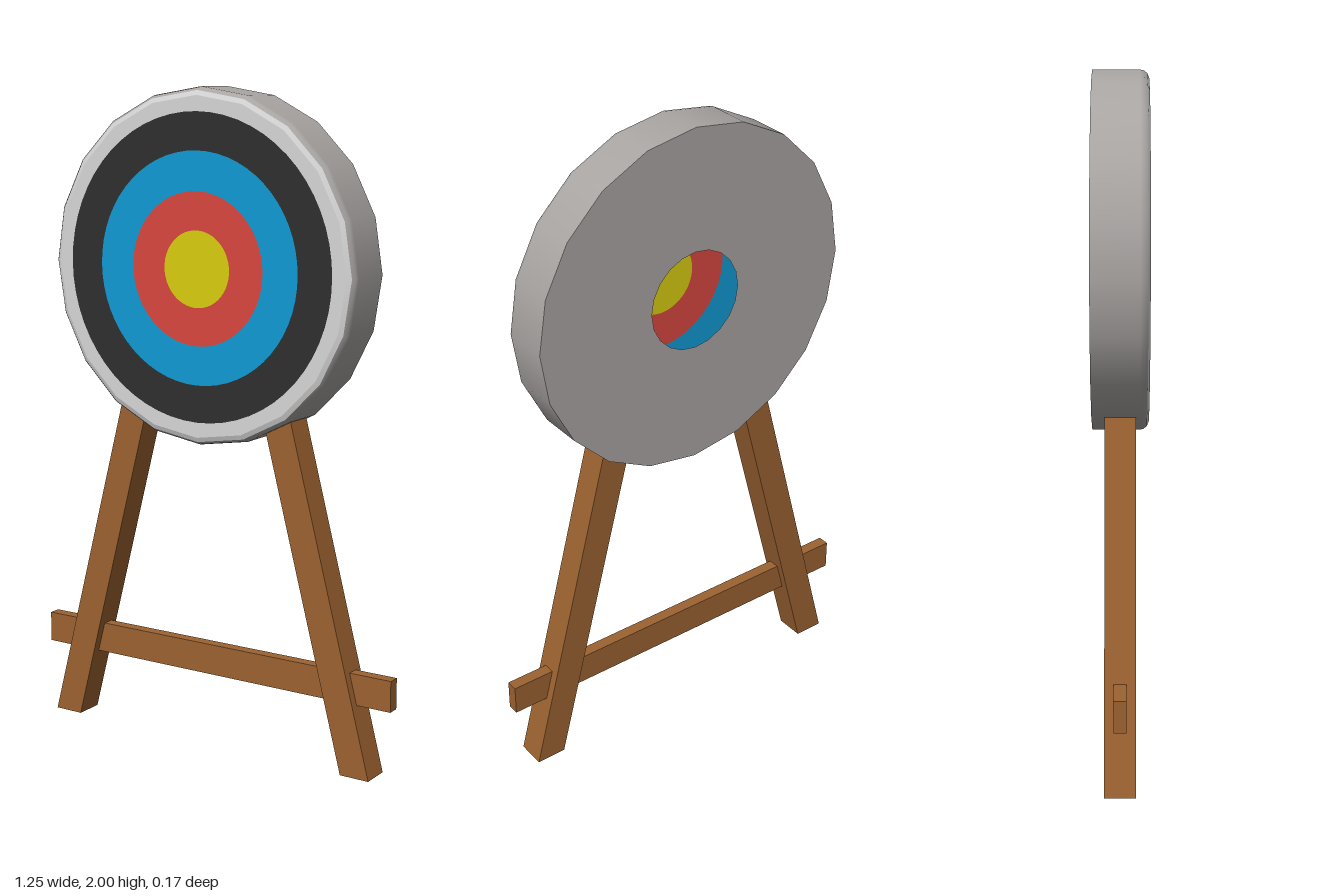
import * as THREE from 'three';

const SIDES = 20;

function material(name, color, side = THREE.FrontSide) {
  const m = new THREE.MeshStandardMaterial({ color, side });
  m.name = name;
  return m;
}

export function createModel() {
  const model = new THREE.Group();
  model.name = 'archeryTarget';

  const wood = material('brown wood', 0x9c6231);
  const grey = material('grey body', 0xa9a5a3, THREE.DoubleSide);
  const white = material('white', 0xd6d6d6, THREE.DoubleSide);
  const black = material('black', 0x2e2e2e, THREE.DoubleSide);
  const blue = material('blue', 0x109bd4, THREE.DoubleSide);
  const red = material('red', 0xd8463f, THREE.DoubleSide);
  const yellow = material('yellow', 0xd8cd10, THREE.DoubleSide);

  const add = (parent, name, geometry, mat) => {
    const mesh = new THREE.Mesh(geometry, mat);
    mesh.name = name;
    parent.add(mesh);
    return mesh;
  };

  // Hollow round target, open at the centre of the back
  const target = new THREE.Group();
  target.name = 'target';
  target.position.set(-0.007, 1.4725, 0);
  model.add(target);

  const lathe = (profile) => new THREE.LatheGeometry(
    profile.map(([r, z]) => new THREE.Vector2(r, z)), SIDES).rotateX(Math.PI / 2);
  const front = 0.0825;
  add(target, 'rim', lathe([[0.5275, -front], [0.5275, 0.055], [0.525, 0.067], [0.517, 0.0765]]), grey);
  add(target, 'rimBevel', lathe([[0.517, 0.0765], [0.503, front]]), white);

  const back = new THREE.RingGeometry(0.153, 0.5275, SIDES).rotateY(Math.PI);
  add(target, 'backPanel', back, grey).position.z = -front;

  // White outer band: polygon outside, round inside
  const band = new THREE.Shape();
  for (let i = 0; i < SIDES; i++) {
    const a = (i / SIDES) * Math.PI * 2;
    const p = [0.503 * Math.cos(a), 0.503 * Math.sin(a)];
    if (i) band.lineTo(...p); else band.moveTo(...p);
  }
  band.closePath();
  band.holes.push(new THREE.Path().absarc(0, 0, 0.457, 0, Math.PI * 2, true));
  add(target, 'whiteBand', new THREE.ShapeGeometry(band, 30), white).position.z = front;

  // Scoring rings
  [
    ['blackRing', 0.345, 0.457, black],
    ['blueRing', 0.228, 0.345, blue],
    ['redRing', 0.114, 0.228, red],
  ].forEach(([name, inner, outer, mat]) => {
    add(target, name, new THREE.RingGeometry(inner, outer, 60), mat).position.z = front;
  });
  add(target, 'bullseye', new THREE.CircleGeometry(0.114, 60), yellow).position.z = front;

  // Splayed legs with level ends
  for (const s of [1, -1]) {
    const shape = new THREE.Shape([
      [0.482, 0], [0.577, 0], [0.302, 1.045], [0.207, 1.045],
    ].map(([x, y]) => new THREE.Vector2(s * x - 0.0065, y)));
    const leg = new THREE.ExtrudeGeometry(shape, { depth: 0.09, bevelEnabled: false });
    leg.translate(0, 0, -0.045);
    add(model, s > 0 ? 'leftLeg' : 'rightLeg', leg, wood);
  }

  // Cross bar through both legs
  add(model, 'crossBar', new THREE.BoxGeometry(1.25, 0.095, 0.037), wood).position.y = 0.263;

  return model;
}
